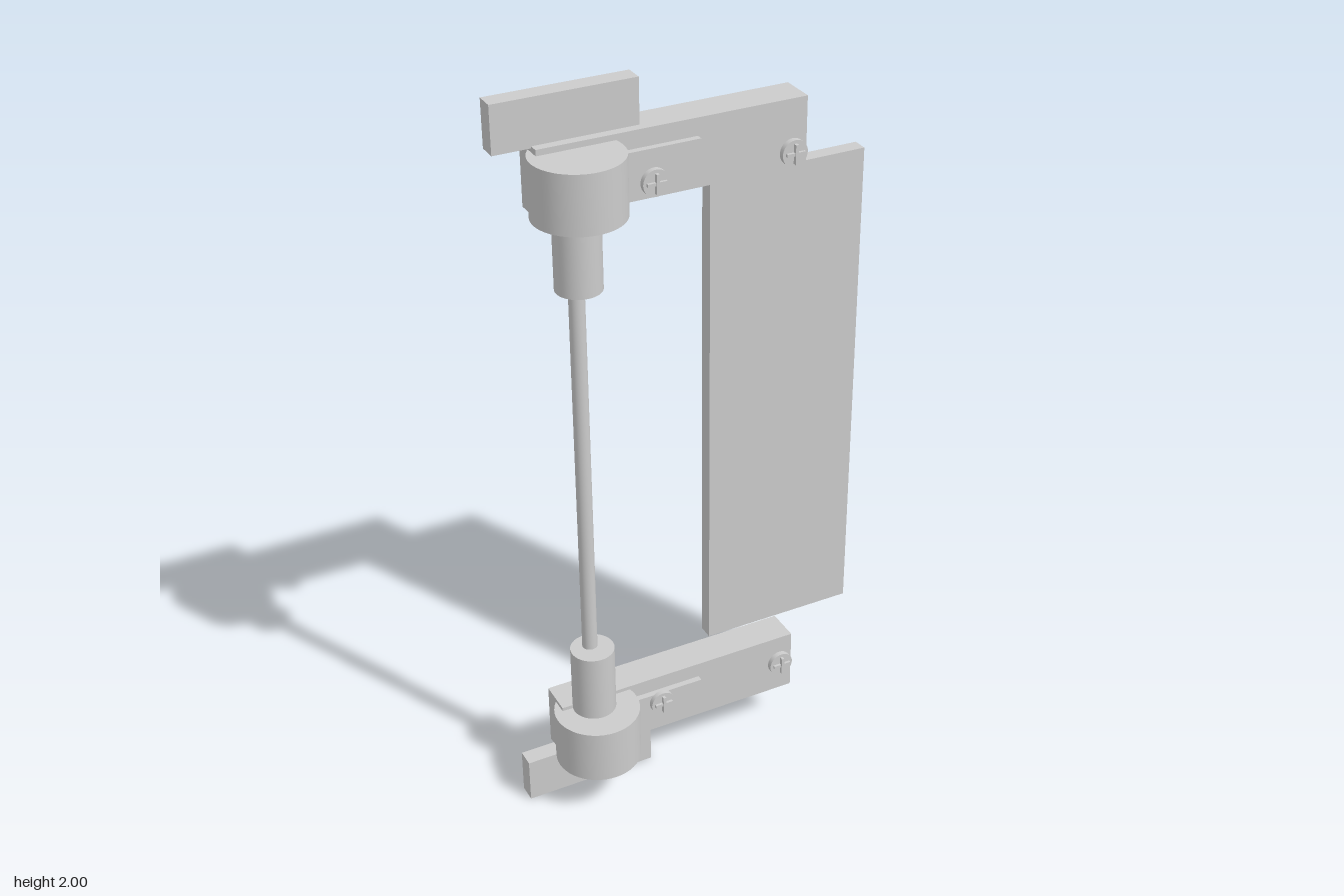
import * as THREE from 'three';

export function createModel() {
  const model = new THREE.Group();
  const mat = new THREE.MeshStandardMaterial({ color: 0xcccccc });

  function add(name, geometry, x, y, z, parent = model) {
    const mesh = new THREE.Mesh(geometry, mat);
    mesh.name = name;
    mesh.position.set(x, y, z);
    parent.add(mesh);
    return mesh;
  }
  // Box given by its min and max on each axis
  const box = (name, x0, x1, y0, y1, z0, z1, parent) =>
    add(name, new THREE.BoxGeometry(x1 - x0, y1 - y0, z1 - z0),
      (x0 + x1) / 2, (y0 + y1) / 2, (z0 + z1) / 2, parent);
  // Upright cylinder from y0 to y1
  const post = (name, r, x, y0, y1, z, parent) =>
    add(name, new THREE.CylinderGeometry(r, r, y1 - y0, 48), x, (y0 + y1) / 2, z, parent);

  // Round screw head with a raised cross
  function screw(x, y, parent) {
    const g = new THREE.Group();
    g.name = 'screw';
    g.position.set(x, y, 0);
    const head = add('screwHead', new THREE.CylinderGeometry(0.034, 0.034, 0.014, 32), 0, 0, 0.019, g);
    head.rotation.x = Math.PI / 2;
    box('crossBarHorizontal', -0.025, 0.025, -0.004, 0.004, 0.025, 0.033, g);
    box('crossBarVertical', -0.004, 0.004, -0.025, 0.025, 0.025, 0.036, g);
    parent.add(g);
  }

  // Upper and lower hinge assemblies; heights are absolute
  const ends = [
    { name: 'upperBracket', plate: [1.88, 2.0], arm: [1.71, 1.885], tab: [1.755, 1.84],
      hub: [1.72, 1.87], collar: [1.528, 1.72], screwY: 1.765 },
    { name: 'lowerBracket', plate: [0, 0.125], arm: [0.122, 0.297], tab: [0.17, 0.255],
      hub: [0.135, 0.287], collar: [0.287, 0.478], screwY: 0.24 },
  ];
  for (const e of ends) {
    const g = new THREE.Group();
    g.name = e.name;
    box('mountingPlate', -0.5, -0.137, ...e.plate, -0.09, -0.041, g);
    box('arm', -0.405, 0.291, ...e.arm, -0.111, -0.017, g);
    box('tab', -0.32, 0, ...e.tab, -0.018, 0, g);
    post('hub', 0.114, -0.318, ...e.hub, 0.012, g);
    post('collar', 0.058, -0.319, ...e.collar, -0.003, g);
    for (const x of [-0.129, 0.236]) screw(x, e.screwY, g);
    model.add(g);
  }

  // Thin rod joining the two collars, and the flat panel behind
  post('rod', 0.02, -0.32, 0.47, 1.535, -0.016);
  box('panel', 0.069, 0.5, 0.32, 1.685, -0.128, -0.087);

  return model;
}
